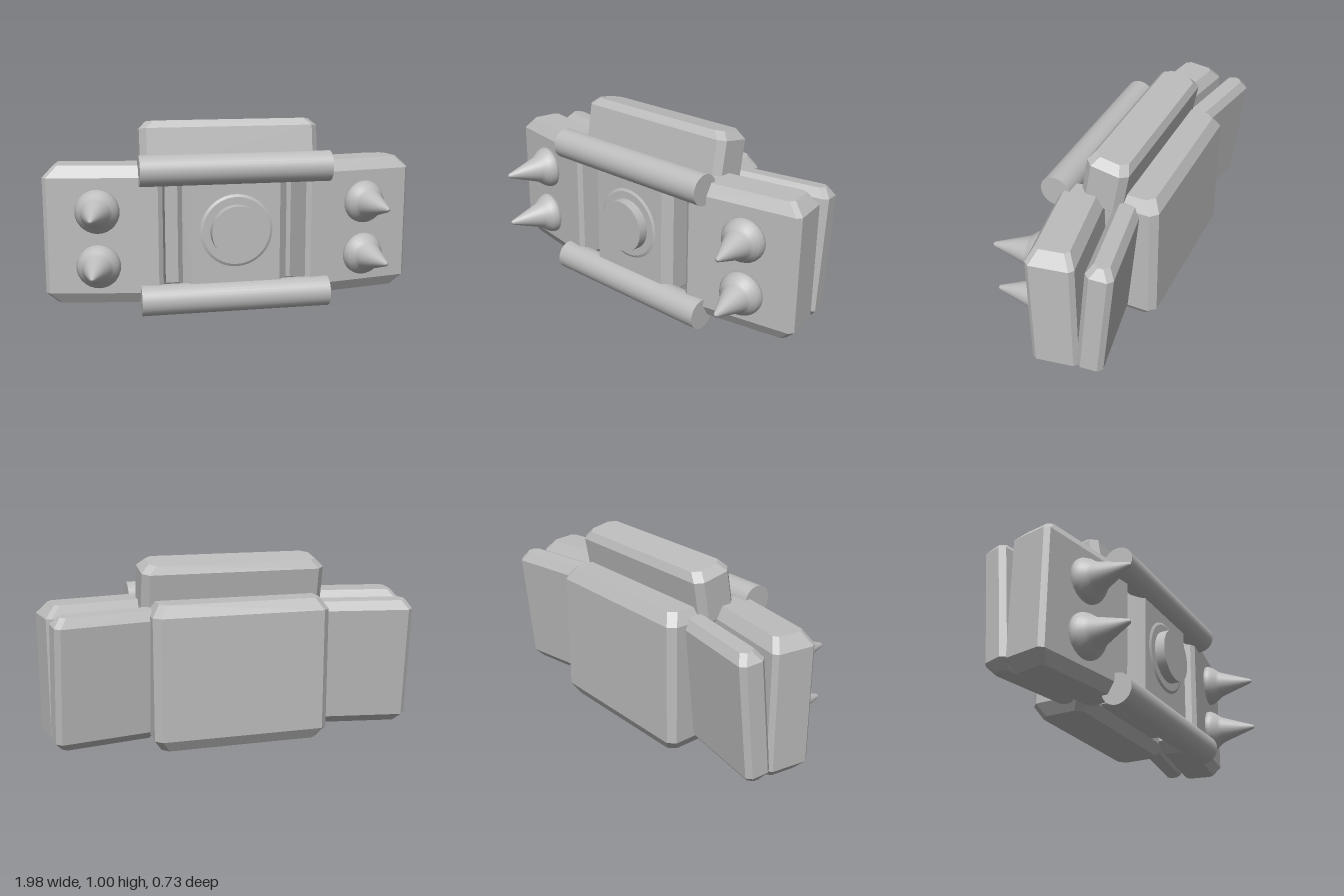
import * as THREE from 'three';
import { ConvexGeometry } from 'three/addons/geometries/ConvexGeometry.js';

// Box with bevelled vertical edges and bevelled top and bottom rims
function bevelBox(w, h, d, edge, rimX, rimY, rimZ) {
  const points = [];
  const ring = (y, a, b) => {
    for (const sx of [-1, 1]) for (const sz of [-1, 1]) {
      points.push(new THREE.Vector3(sx * (a - edge), y, sz * b));
      points.push(new THREE.Vector3(sx * a, y, sz * (b - edge)));
    }
  };
  for (const s of [-1, 1]) {
    ring(s * (h / 2 - rimY), w / 2, d / 2);
    ring(s * h / 2, w / 2 - rimX, d / 2 - rimZ);
  }
  return new ConvexGeometry(points);
}

export function createModel() {
  const model = new THREE.Group();
  model.name = 'armouredBelt';
  const grey = new THREE.MeshStandardMaterial({ color: 0xbcbcbc });
  grey.name = 'grey';

  const add = (name, geometry, x, y, z, parent = model) => {
    const mesh = new THREE.Mesh(geometry, grey);
    mesh.name = name;
    mesh.position.set(x, y, z);
    parent.add(mesh);
    return mesh;
  };

  // Centre: back pack, front block and tilted top pad
  add('backPack', bevelBox(0.92, 0.75, 0.305, 0.035, 0.04, 0.06, 0.035), 0, 0.425, -0.2125);
  add('centreBlock', bevelBox(0.56, 0.64, 0.3, 0.045, 0.01, 0.01, 0.01), 0, 0.43, 0.015);
  const pad = add('topPad', bevelBox(0.965, 0.3, 0.22, 0.035, 0.04, 0.04, 0.025), 0, 0.842, -0.09);
  pad.rotation.x = -0.175;

  // Round button on a shallow raised ring
  const ring = add('buttonRing', new THREE.CylinderGeometry(0.18, 0.2, 0.01, 40), 0, 0.44, 0.167);
  const button = add('button', new THREE.CylinderGeometry(0.14, 0.14, 0.08, 40), 0, 0.44, 0.185);
  ring.rotation.x = button.rotation.x = Math.PI / 2;

  // Horizontal bars
  for (const [name, y] of [['upperBar', 0.767], ['lowerBar', 0.081]]) {
    const bar = add(name, new THREE.CylinderGeometry(0.081, 0.081, 1.01, 32), 0, y, 0.15);
    bar.rotation.z = Math.PI / 2;
  }

  // Angled side plates, each with a leaning back plate and two spikes
  const sideGeometry = bevelBox(0.615, 0.73, 0.235, 0.022, 0.055, 0.06, 0.035);
  const backGeometry = bevelBox(0.55, 0.685, 0.135, 0.025, 0.035, 0.045, 0.03);
  const profile = [[0, -0.02], [0.115, -0.02], [0.115, 0.02], [0.103, 0.045],
    [0.085, 0.068], [0.073, 0.085], [0.012, 0.262], [0, 0.27]];
  const spikeGeometry = new THREE.LatheGeometry(profile.map(([r, t]) => new THREE.Vector2(r, t)), 28);

  for (const s of [1, -1]) {
    const side = new THREE.Group();
    side.name = s > 0 ? 'leftSide' : 'rightSide';
    side.position.set(s * 0.67, 0.425, -0.01);
    side.rotation.y = s * 0.175;
    model.add(side);
    add('sidePlate', sideGeometry, 0, 0, 0, side);
    for (const y of [0.133, -0.157]) {
      const spike = add('spike', spikeGeometry, s * 0.026, y, 0.115, side);
      spike.rotation.x = Math.PI / 2;
    }
    const back = add('backPlate', backGeometry, s * 0.675, 0.425, -0.217);
    back.rotation.set(-0.1, s * 0.175, 0, 'YXZ');
  }
  return model;
}
